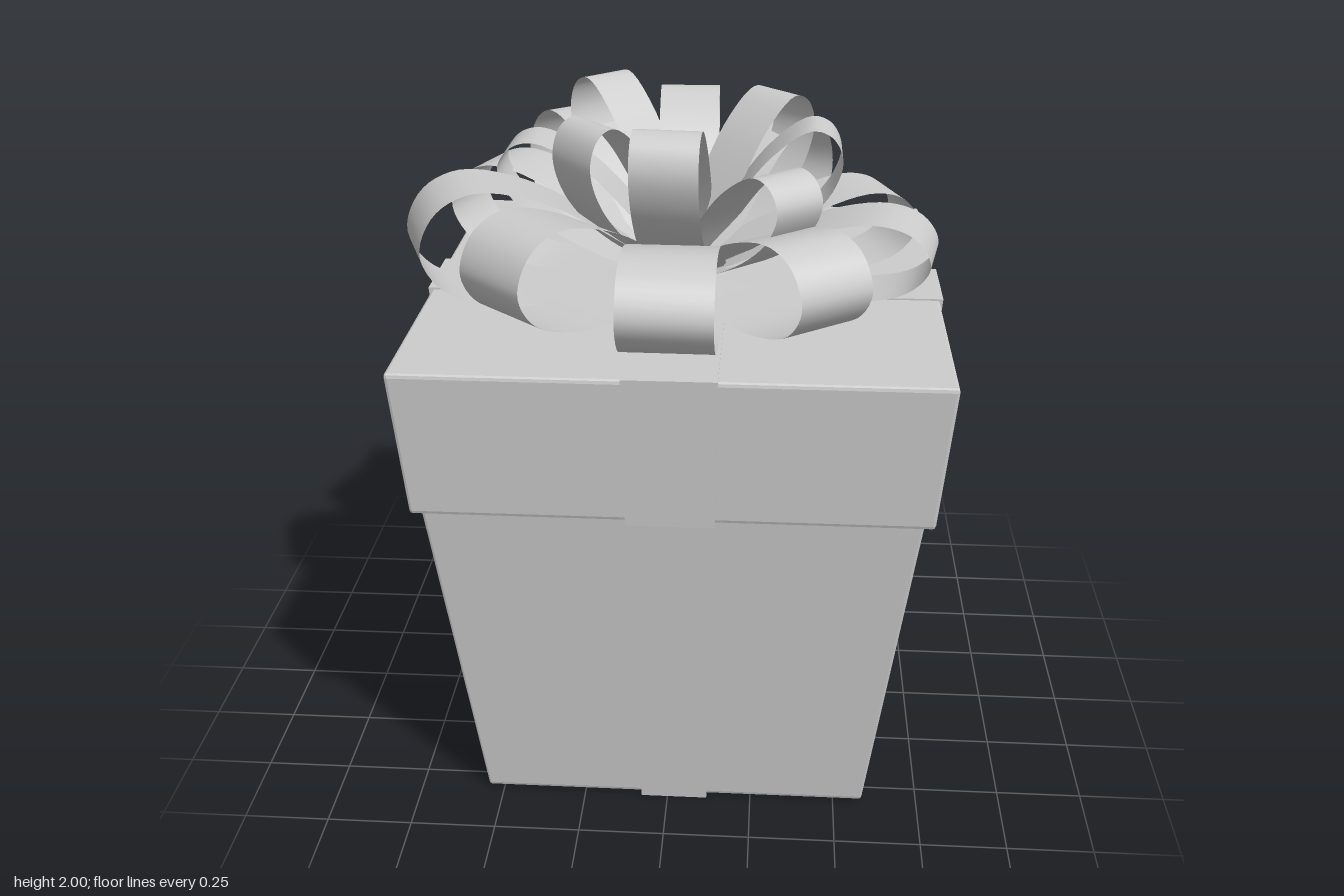
import * as THREE from 'three';
import { RoundedBoxGeometry } from 'three/addons/geometries/RoundedBoxGeometry.js';

const CX = 0.02, CZ = 0.008, LID_TOP = 1.46;

// Scale x and z of a unit-wide geometry linearly from bottom to top, and lift it to y0..y1
function taper(geo, y0, y1, [bx, bz], [tx, tz]) {
  const p = geo.attributes.position, h = y1 - y0;
  for (let i = 0; i < p.count; i++) {
    const t = p.getY(i) / h + 0.5;
    p.setXYZ(i, p.getX(i) * THREE.MathUtils.lerp(bx, tx, t), y0 + t * h,
      p.getZ(i) * THREE.MathUtils.lerp(bz, tz, t));
  }
  geo.computeVertexNormals();
  return geo;
}

// Box with slightly softened edges and sloping sides
const softBox = (y0, y1, b, t) =>
  taper(new RoundedBoxGeometry(2, y1 - y0, 2, 1, 0.012), y0, y1, [b, b], [t, t]);

// Flat band that wraps right round the box
const band = (y0, y1, b, t) => taper(new THREE.BoxGeometry(2, y1 - y0, 2), y0, y1, b, t);

// Side profiles of a bow loop: [fraction of reach, fraction of height]
const LOW = [[0.02, 0.03], [0.35, 0.01], [0.7, 0.04], [0.92, 0.22], [1, 0.54],
  [0.94, 0.86], [0.8, 1], [0.55, 0.86], [0.28, 0.48], [0.03, 0.06]];
const HIGH = [[0.02, 0.04], [0.4, 0.19], [0.75, 0.42], [0.94, 0.63], [1, 0.82],
  [0.93, 0.96], [0.8, 1], [0.55, 0.84], [0.28, 0.5], [0.03, 0.08]];

// Ribbon swept along a closed profile toward the tip (x, z), pinched at the centre
function loopGeometry(profile, x, z, top, width) {
  const dx = x - CX, dz = z, reach = Math.hypot(dx, dz);
  const ux = dx / reach, uz = dz / reach, height = top - LID_TOP;
  const curve = new THREE.CatmullRomCurve3(
    profile.map(([r, h]) => new THREE.Vector3(r * reach, LID_TOP + h * height, 0)));
  const pos = [], index = [], N = 48;
  curve.getPoints(N).forEach((p, i) => {
    const half = width / 2 * (0.08 + 0.92 * THREE.MathUtils.smoothstep(p.x, 0, 0.16));
    for (const s of [-half, half]) pos.push(CX + ux * p.x + uz * s, p.y, uz * p.x - ux * s);
    if (i < N) {
      const a = i * 2;
      index.push(a, a + 1, a + 2, a + 1, a + 3, a + 2);
    }
  });
  const geo = new THREE.BufferGeometry();
  geo.setAttribute('position', new THREE.Float32BufferAttribute(pos, 3));
  geo.setIndex(index);
  geo.computeVertexNormals();
  return geo;
}

export function createModel() {
  const model = new THREE.Group();
  model.name = 'giftBox';
  const grey = new THREE.MeshStandardMaterial({ color: 0xcccccc, side: THREE.DoubleSide });
  grey.name = 'light grey';
  const add = (parent, name, geo) => {
    const mesh = new THREE.Mesh(geo, grey);
    mesh.name = name;
    parent.add(mesh);
    return mesh;
  };

  // Box and lid
  const box = new THREE.Group();
  box.name = 'box';
  box.position.set(CX, 0, CZ);
  model.add(box);
  add(box, 'body', softBox(0.01, 1.04, 0.565, 0.682));
  add(box, 'lid', softBox(1.028, 1.455, 0.706, 0.738));

  // Crossed ribbon bands
  for (const turn of [0, Math.PI / 2]) {
    add(box, 'bodyRibbon', band(0, 1.04, [0.572, 0.098], [0.69, 0.116])).rotation.y = turn;
    add(box, 'lidRibbon', band(1.02, LID_TOP, [0.715, 0.12], [0.746, 0.125])).rotation.y = turn;
  }

  // Bow: each loop is [tip x, tip z, top height, ribbon width]
  const bow = new THREE.Group();
  bow.name = 'bow';
  model.add(bow);
  const lower = [
    [-0.08, -0.775, 1.73, 0.245], [0.01, 0.775, 1.75, 0.25],
    [0.372, -0.57, 1.83, 0.2], [-0.422, -0.552, 1.86, 0.225],
    [-0.665, -0.255, 1.76, 0.215], [-0.725, 0.278, 1.81, 0.24],
    [-0.47, 0.542, 1.77, 0.245], [0.447, 0.562, 1.74, 0.235],
    [0.733, 0.128, 1.7, 0.22], [0.667, -0.247, 1.7, 0.22],
  ];
  const upper = [
    [0.465, 0, 1.93, 0.17], [-0.515, -0.012, 1.88, 0.175],
    [0.005, -0.515, 1.93, 0.18], [-0.015, 0.44, 2.0, 0.185],
    [0.328, -0.312, 1.96, 0.17], [-0.29, -0.328, 2.0, 0.155],
    [-0.278, 0.265, 1.98, 0.18], [0.345, 0.358, 1.87, 0.165],
  ];
  for (const l of lower) add(bow, 'lowerLoop', loopGeometry(LOW, ...l));
  for (const l of upper) add(bow, 'upperLoop', loopGeometry(HIGH, ...l));

  return model;
}
